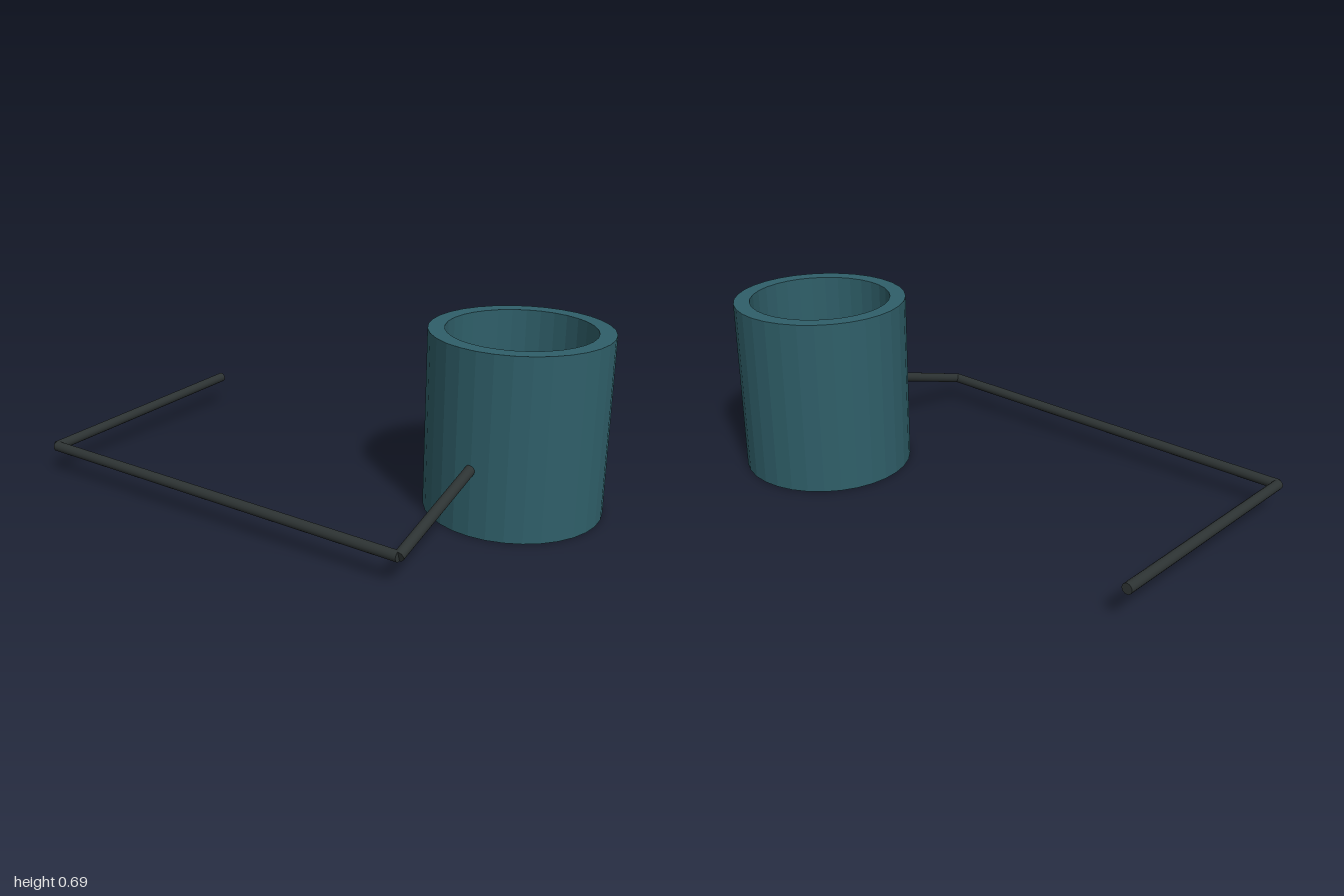
import * as THREE from 'three';

export function createModel() {
  const model = new THREE.Group();
  const teal = new THREE.MeshStandardMaterial({ color: 0x2f5f69 });
  const charcoal = new THREE.MeshStandardMaterial({ color: 0x2d3333 });
  teal.name = 'teal';
  charcoal.name = 'charcoal';
  teal.flatShading = true;

  // Open ring sleeve: outer wall, top rim, inner wall, bottom rim
  const outer = 0.338, inner = 0.276, height = 0.69;
  const profile = [[outer, 0], [outer, height], [inner, height], [inner, 0], [outer, 0]]
    .map(([r, y]) => new THREE.Vector2(r, y));
  const sleeve = new THREE.Mesh(new THREE.LatheGeometry(profile, 32), teal);
  sleeve.name = 'sleeve';
  sleeve.position.set(0.662, 0, -0.238);
  model.add(sleeve);

  // Straight round rod between two points
  const up = new THREE.Vector3(0, 1, 0);
  function rod(name, a, b) {
    const dir = b.clone().sub(a);
    const mesh = new THREE.Mesh(new THREE.CylinderGeometry(0.02, 0.02, dir.length(), 16), charcoal);
    mesh.name = name;
    mesh.position.copy(a).add(b).multiplyScalar(0.5);
    mesh.quaternion.setFromUnitVectors(up, dir.normalize());
    model.add(mesh);
  }

  // Bent wire frame: sleeve arm, cross bar, free arm
  const leftCorner = new THREE.Vector3(0.657, 0.109, 0.553);
  const rightCorner = new THREE.Vector3(-0.98, 0.109, 0.553);
  rod('sleeveArm', leftCorner, new THREE.Vector3(0.657, 0.258, 0.08));
  rod('crossBar', leftCorner, rightCorner);
  rod('freeArm', rightCorner, new THREE.Vector3(-0.98, 0.134, -0.45));

  return model;
}
